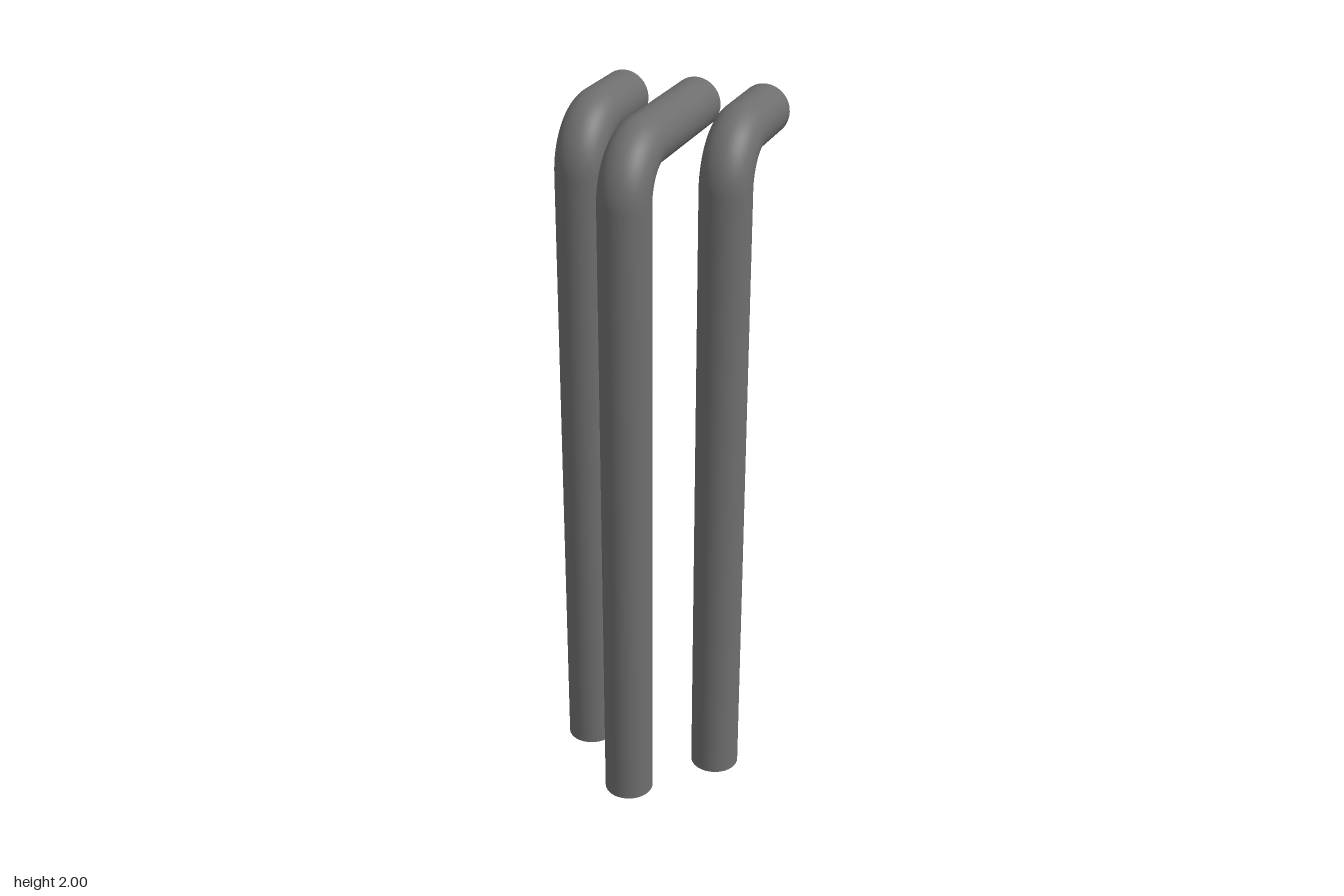
import * as THREE from 'three';

const RADIUS = 0.07;   // pipe radius
const BEND = 0.13;     // centreline radius of the elbow
const TOP = 1.93;      // height of the horizontal run's axis
const BACK = -0.295;   // z of the open rear ends
const SIDES = 48;

export function createModel() {
  const model = new THREE.Group();
  model.name = 'bentPipes';
  const steel = new THREE.MeshStandardMaterial({ color: 0x6e6e6e });
  steel.name = 'dark grey steel';

  const add = (parent, name, geometry) => {
    const mesh = new THREE.Mesh(geometry, steel);
    mesh.name = name;
    parent.add(mesh);
  };

  // One pipe: upright, quarter elbow, short run to the back, flat end caps
  const makePipe = (name, x, z) => {
    const pipe = new THREE.Group();
    pipe.name = name;
    pipe.position.x = x;

    const height = TOP - BEND;
    add(pipe, 'upright', new THREE.CylinderGeometry(RADIUS, RADIUS, height, SIDES, 1, true)
      .translate(0, height / 2, z));

    add(pipe, 'elbow', new THREE.TorusGeometry(BEND, RADIUS, SIDES, 24, Math.PI / 2)
      .rotateY(-Math.PI / 2).translate(0, height, z - BEND));

    const run = z - BEND - BACK;
    add(pipe, 'rearRun', new THREE.CylinderGeometry(RADIUS, RADIUS, run, SIDES, 1, true)
      .rotateX(Math.PI / 2).translate(0, TOP, BACK + run / 2));

    add(pipe, 'bottomCap', new THREE.CircleGeometry(RADIUS, SIDES)
      .rotateX(Math.PI / 2).translate(0, 0, z));
    add(pipe, 'rearCap', new THREE.CircleGeometry(RADIUS, SIDES)
      .rotateY(Math.PI).translate(0, TOP, BACK));

    model.add(pipe);
  };

  makePipe('rightPipe', -0.202, 0.014);
  makePipe('middlePipe', 0.007, 0.224);
  makePipe('leftPipe', 0.202, 0.014);

  return model;
}
